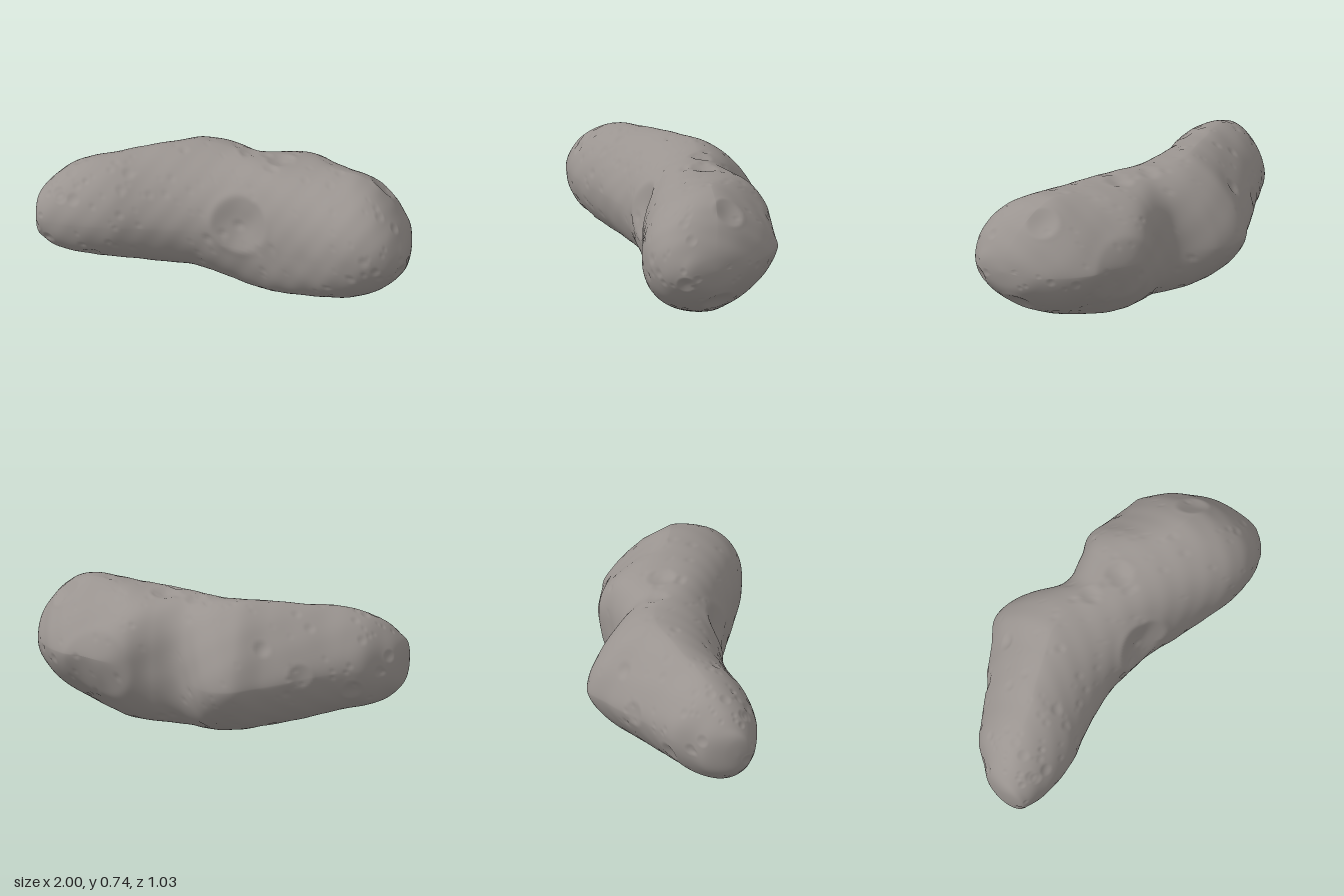
import * as THREE from 'three';
import { mergeVertices } from 'three/addons/utils/BufferGeometryUtils.js';

// Outline at x = -cos(t), t in equal steps: bottom y, top y, back z, front z
const OUTLINE = [
  [0.38, 0.38, 0.11, 0.11], [0.285, 0.475, 0.03, 0.175], [0.23, 0.53, -0.06, 0.2],
  [0.185, 0.59, -0.12, 0.225], [0.155, 0.638, -0.2, 0.25], [0.135, 0.67, -0.25, 0.265],
  [0.11, 0.69, -0.305, 0.265], [0.08, 0.705, -0.37, 0.24], [0.05, 0.72, -0.435, 0.225],
  [0.03, 0.73, -0.508, 0.225], [0.01, 0.722, -0.458, 0.25], [0, 0.718, -0.29, 0.28],
  [0.005, 0.718, -0.28, 0.35], [0.015, 0.725, -0.312, 0.42], [0.035, 0.73, -0.3, 0.485],
  [0.07, 0.73, -0.25, 0.515], [0.115, 0.695, -0.195, 0.515], [0.175, 0.625, -0.11, 0.49],
  [0.235, 0.545, 0, 0.44], [0.3, 0.47, 0.1, 0.38], [0.39, 0.39, 0.24, 0.24],
];
// Roundness of each quarter (2 is an ellipse, less is more pointed), same spacing rule:
// back top, back bottom, front top, front bottom, rise of the back edge
const ROUNDNESS = [
  [2, 2, 2, 2, 0], [2, 2, 1.9, 2.1, 0], [1.75, 1.9, 1.8, 2.1, 0], [1.6, 1.75, 1.75, 2, -0.01],
  [1.5, 1.55, 1.75, 1.95, -0.03], [1.75, 1.6, 2, 2.2, -0.035], [2.7, 2.4, 2.1, 2.6, 0.02],
  [1.5, 1.6, 2.1, 2.2, 0.02], [1.4, 1.55, 2.1, 2.1, 0], [1.6, 1.8, 2.1, 2.1, 0], [2, 2, 2, 2, 0],
];
// Large craters: x, y, z, radius, depth
const CRATERS = [
  [0.09, 0.47, 0.27, 0.16, 0.04], [0.62, 0.36, -0.3, 0.2, 0.02], [0.93, 0.17, 0.2, 0.09, 0.02],
  [0.82, 0.63, 0.1, 0.09, 0.018], [0.29, 0.7, -0.02, 0.08, 0.015], [0.1, 0.7, -0.08, 0.06, 0.012],
  [0.95, 0.33, 0.4, 0.05, 0.012], [-0.7, 0.2, 0.18, 0.06, 0.012], [-0.5, 0.4, -0.34, 0.07, 0.012],
  [-0.3, 0.55, -0.36, 0.05, 0.01], [-0.75, 0.3, -0.2, 0.06, 0.012],
];
const RINGS = 240, SIDES = 160;

function seeded(seed) {
  return () => (seed = (seed * 16807) % 2147483647) / 2147483647;
}

// Smooth blend through a table, t from 0 to 1
function blend(table, t) {
  const last = table.length - 1, i = Math.min(Math.floor(t * last), last - 1), u = t * last - i;
  const row = (k) => table[Math.max(0, Math.min(last, k))];
  return table[0].map((_, c) => {
    const [a, b, d, e] = [row(i - 1)[c], row(i)[c], row(i + 1)[c], row(i + 2)[c]];
    return b + 0.5 * u * (d - a + u * (2 * a - 5 * b + 4 * d - e + u * (3 * (b - d) + e - a)));
  });
}

const power = (v, p) => Math.sign(v) * Math.abs(v) ** (2 / p);

function bodyGeometry() {
  const positions = [], index = [];
  for (let i = 0; i <= RINGS; i++) {
    const [y0, y1, z0, z1] = blend(OUTLINE, i / RINGS);
    const [backTop, backLow, frontTop, frontLow, rise] = blend(ROUNDNESS, i / RINGS);
    for (let j = 0; j < SIDES; j++) {
      const a = (j / SIDES) * Math.PI * 2, c = Math.cos(a), s = Math.sin(a);
      const p = c < 0 ? (s > 0 ? backTop : backLow) : (s > 0 ? frontTop : frontLow);
      positions.push(
        -Math.cos((i / RINGS) * Math.PI),
        (y0 + y1) / 2 + ((y1 - y0) / 2) * power(s, p) + (c < 0 ? rise * c * c : 0),
        (z0 + z1) / 2 + ((z1 - z0) / 2) * power(c, p));
      if (i < RINGS) {
        const k = (j + 1) % SIDES, r = i * SIDES, n = r + SIDES;
        index.push(r + j, n + j, r + k, n + j, n + k, r + k);
      }
    }
  }
  const raw = new THREE.BufferGeometry();
  raw.setAttribute('position', new THREE.Float32BufferAttribute(positions, 3));
  raw.setIndex(index);
  const geometry = mergeVertices(raw, 1e-5);
  geometry.computeVertexNormals();
  return geometry;
}

// Bowl with a low raised rim; d is distance over radius
function craterProfile(d) {
  const bowl = d < 1 ? -((1 - d * d) ** 1.5) : 0;
  return bowl + 0.09 * Math.exp(-(((d - 1) / 0.17) ** 2));
}

function weather(geometry) {
  const pos = geometry.attributes.position, normal = geometry.attributes.normal;
  const points = Array.from({ length: pos.count }, (_, i) => new THREE.Vector3().fromBufferAttribute(pos, i));
  const random = seeded(4711);

  // Snap the large craters to the surface
  const craters = CRATERS.map(([x, y, z, radius, depth]) => {
    const target = new THREE.Vector3(x, y, z);
    const centre = points.reduce((best, p) =>
      (p.distanceToSquared(target) < best.distanceToSquared(target) ? p : best));
    return { centre, radius, depth };
  });
  // Scatter small craters evenly along the length
  for (let i = 0; i < 260; i++) {
    const radius = 0.016 + 0.022 * random() ** 3;
    const ring = Math.floor((Math.acos(1 - 2 * random()) / Math.PI) * (RINGS - 2));
    const centre = points[ring * SIDES + Math.floor(random() * SIDES)];
    craters.push({ centre, radius, depth: radius * 0.18 });
  }

  points.forEach((p, i) => {
    // Gentle unevenness
    let h = 0.003 * Math.sin(9 * p.x + 7 * p.y) * Math.sin(11 * p.z - 5 * p.x + 1)
      + 0.0015 * Math.sin(31 * p.x + 17 * p.z) * Math.sin(29 * p.y - 13 * p.x);
    for (const { centre, radius, depth } of craters) {
      if (Math.abs(p.x - centre.x) < radius * 1.5) h += depth * craterProfile(p.distanceTo(centre) / radius);
    }
    pos.setXYZ(i, p.x + h * normal.getX(i), p.y + h * normal.getY(i), p.z + h * normal.getZ(i));
  });
  geometry.computeVertexNormals();
  return geometry;
}

export function createModel() {
  const group = new THREE.Group();
  group.name = 'asteroid';
  const rock = new THREE.Mesh(
    weather(bodyGeometry()),
    new THREE.MeshStandardMaterial({ color: 0x9a9490 }));
  rock.name = 'crateredRock';
  group.add(rock);
  return group;
}
